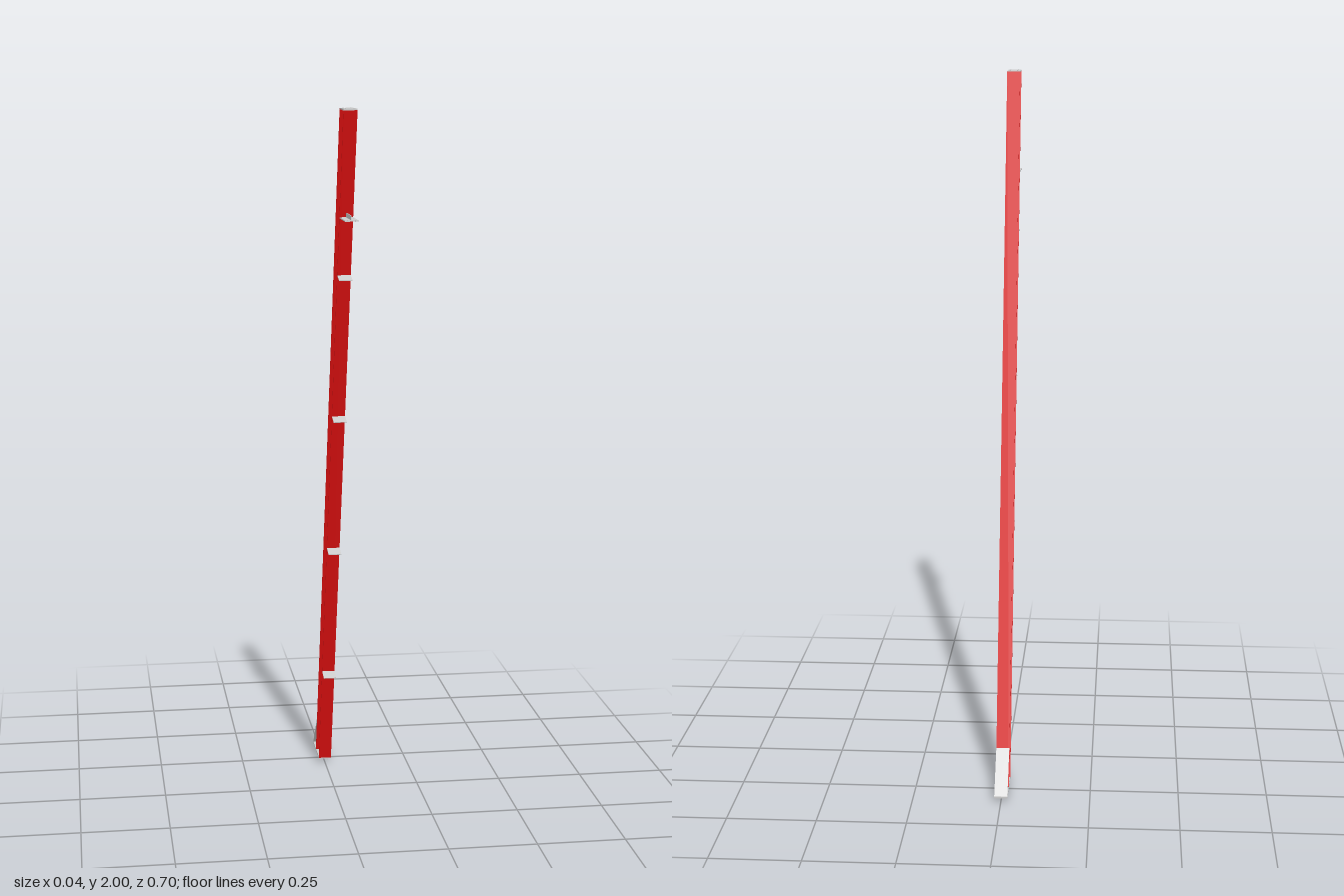
import * as THREE from 'three';

const red = new THREE.MeshStandardMaterial({ color: 0xdd1010 });
const grey = new THREE.MeshStandardMaterial({ color: 0xcccccc });

const W = 0.037, D = 0.076;          // column width and horizontal depth
const Y0 = 0.015, Y1 = 2;            // column foot and head
const SLOPE = 0.266;                 // forward lean per unit of height
const centreZ = (y) => -0.243 + (y - Y0) * SLOPE;
const frontZ = (y) => centreZ(y) + D / 2;

export function createModel() {
  const group = new THREE.Group();

  const add = (parent, name, geometry, material, x = 0, y = 0, z = 0) => {
    const mesh = new THREE.Mesh(geometry, material);
    mesh.name = name;
    mesh.position.set(x, y, z);
    parent.add(mesh);
    return mesh;
  };
  const box = (parent, name, w, h, d, x, y, z) =>
    add(parent, name, new THREE.BoxGeometry(w, h, d), grey, x, y, z);
  const bolts = (parent, y, height, zs, x = 0.011) => {
    for (const z of zs) for (const s of [-1, 1]) {
      add(parent, 'bolt', new THREE.CylinderGeometry(0.0015, 0.0015, height, 6), grey, s * x, y, z);
    }
  };

  // Leaning I-beam: half outline mirrored, extruded upward, then sheared
  const w = W / 2, d = D / 2, tf = 0.0035, tw = 0.0013;
  const half = [[w, -d], [w, -d + tf], [tw, -d + tf], [tw, d - tf], [w, d - tf], [w, d]];
  const outline = [...half, ...half.map(([x, z]) => [-x, z]).reverse()];
  const beam = new THREE.ExtrudeGeometry(
    new THREE.Shape(outline.map(([x, z]) => new THREE.Vector2(x, z))),
    { depth: Y1 - Y0 - 0.003, bevelEnabled: false });
  beam.rotateX(-Math.PI / 2).translate(0, Y0, 0);
  const p = beam.attributes.position;
  for (let i = 0; i < p.count; i++) p.setZ(i, p.getZ(i) + centreZ(p.getY(i)));
  beam.computeVertexNormals();
  add(group, 'column', beam, red);

  // Head plate with bolts
  const head = new THREE.Group();
  head.name = 'headPlate';
  group.add(head);
  box(head, 'plate', W, 0.004, D, 0, Y1 - 0.003, centreZ(Y1));
  bolts(head, Y1 - 0.004, 0.008, [0.256, 0.281, 0.307]);

  // Foot plate with anchor bolts below
  const foot = new THREE.Group();
  foot.name = 'footPlate';
  group.add(foot);
  box(foot, 'plate', W, 0.005, 0.143, 0, Y0, -0.2765);
  bolts(foot, 0.0075, 0.015, [-0.222, -0.245, -0.267, -0.312]);

  // Triangular haunch behind the foot: web plus sloping flange
  const haunch = new THREE.Group();
  haunch.name = 'haunch';
  group.add(haunch);
  const prism = (points, width) => {
    const g = new THREE.ExtrudeGeometry(
      new THREE.Shape(points.map(([z, y]) => new THREE.Vector2(-z, y))),
      { depth: width, bevelEnabled: false });
    return g.translate(0, 0, -width / 2).rotateY(Math.PI / 2);
  };
  add(haunch, 'web', prism([[-0.281, Y0], [-0.346, Y0], [-0.255, 0.122]], 0.003), grey);
  add(haunch, 'flange',
    prism([[-0.344, Y0], [-0.348, Y0], [-0.2535, 0.125], [-0.2545, 0.12]], W), grey);

  // Bracket near the head: flat plate with an upright rib
  const bracket = new THREE.Group();
  bracket.name = 'bracket';
  group.add(bracket);
  const by = 1.709, bz = frontZ(by);
  box(bracket, 'plate', W, 0.003, 0.348 - bz, 0, by, (0.348 + bz) / 2);
  box(bracket, 'rib', 0.002, 0.012, 0.336 - bz, 0, by + 0.0075, (0.336 + bz) / 2);
  bolts(bracket, by, 0.005, [0.29, 0.341]);

  // Small clips square to the front of the column
  for (const y of [1.549, 1.139, 0.729, 0.319]) {
    const clip = new THREE.Group();
    clip.name = 'clip';
    clip.position.set(0, y, frontZ(y));
    clip.rotation.x = Math.atan(SLOPE);
    box(clip, 'plate', W, 0.002, 0.038, 0, 0, 0.019);
    group.add(clip);
  }
  return group;
}
